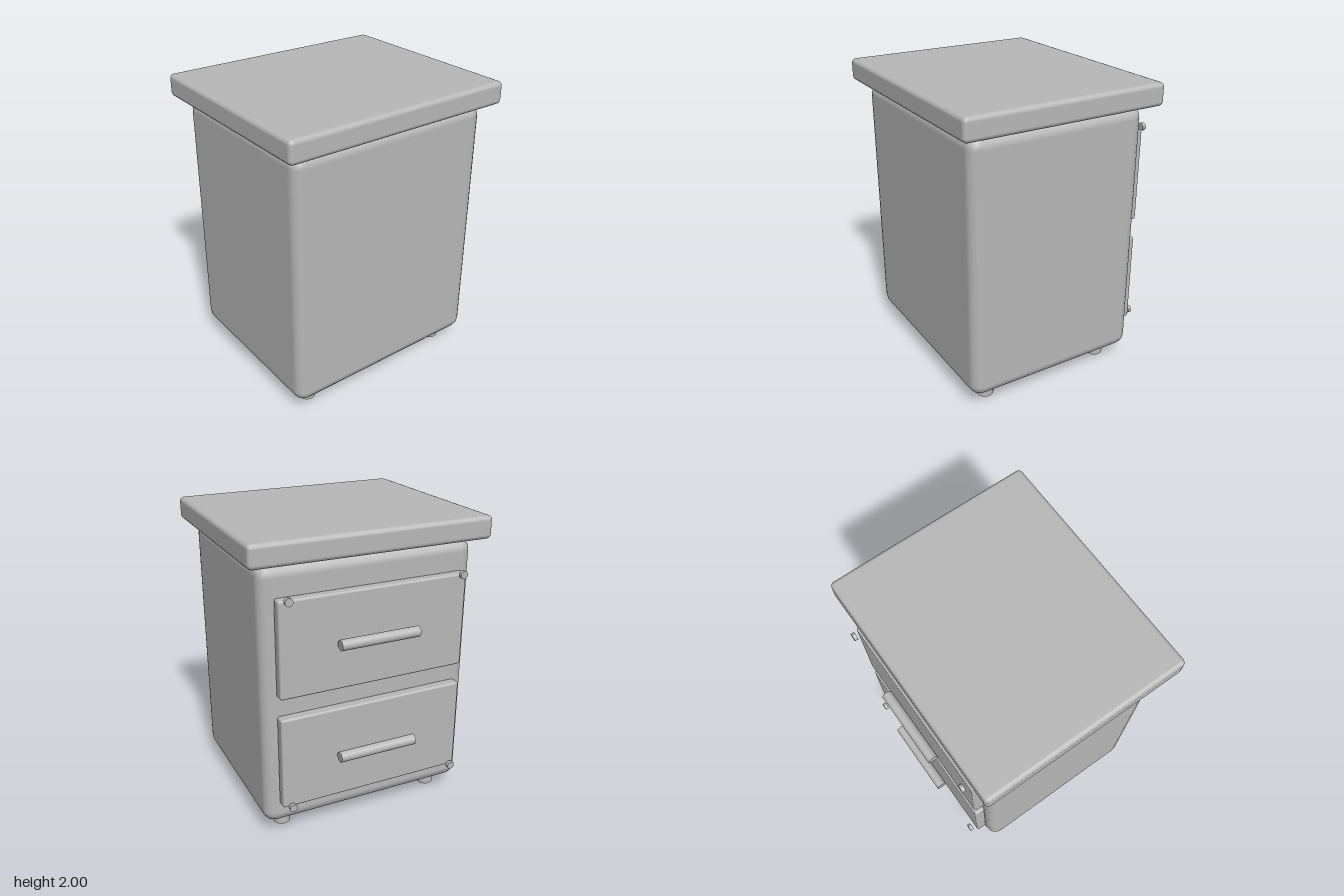
import * as THREE from 'three';
import { RoundedBoxGeometry } from 'three/addons/geometries/RoundedBoxGeometry.js';

export function createModel() {
  const model = new THREE.Group();
  model.name = 'drawerCabinet';
  const grey = new THREE.MeshStandardMaterial({ color: 0xb8b8b8 });
  grey.name = 'grey';

  const add = (name, geometry, x, y, z) => {
    const mesh = new THREE.Mesh(geometry, grey);
    mesh.name = name;
    mesh.position.set(x, y, z);
    model.add(mesh);
    return mesh;
  };

  // Carcass and overhanging top
  const midZ = 0.04;
  add('body', new RoundedBoxGeometry(1.46, 1.75, 1.24, 2, 0.08), 0, 0.97, midZ);
  add('top', new RoundedBoxGeometry(1.62, 0.15, 1.4, 2, 0.03), 0, 1.925, midZ);

  // Feet
  const foot = new THREE.CylinderGeometry(0.056, 0.056, 0.12, 24);
  for (const x of [-0.565, 0.565]) {
    for (const z of [-0.455, 0.455]) add('foot', foot, x, 0.06, midZ + z);
  }

  // Drawers on the back side, each with a bar handle and two small studs
  const drawer = new RoundedBoxGeometry(1.28, 0.63, 0.075, 2, 0.015);
  const handle = new THREE.CylinderGeometry(0.035, 0.035, 0.54, 24);
  const stud = new THREE.CylinderGeometry(0.026, 0.026, 0.025, 16);
  const rows = [
    { y: 1.335, handleY: 1.337, studY: 1.654 },
    { y: 0.57, handleY: 0.568, studY: 0.274 },
  ];
  for (const row of rows) {
    add('drawer', drawer, 0, row.y, -0.614);
    add('handle', handle, 0, row.handleY, -0.705).rotation.z = Math.PI / 2;
    for (const x of [-0.59, 0.59]) {
      add('stud', stud, x, row.studY, -0.688).rotation.x = Math.PI / 2;
    }
  }
  return model;
}
